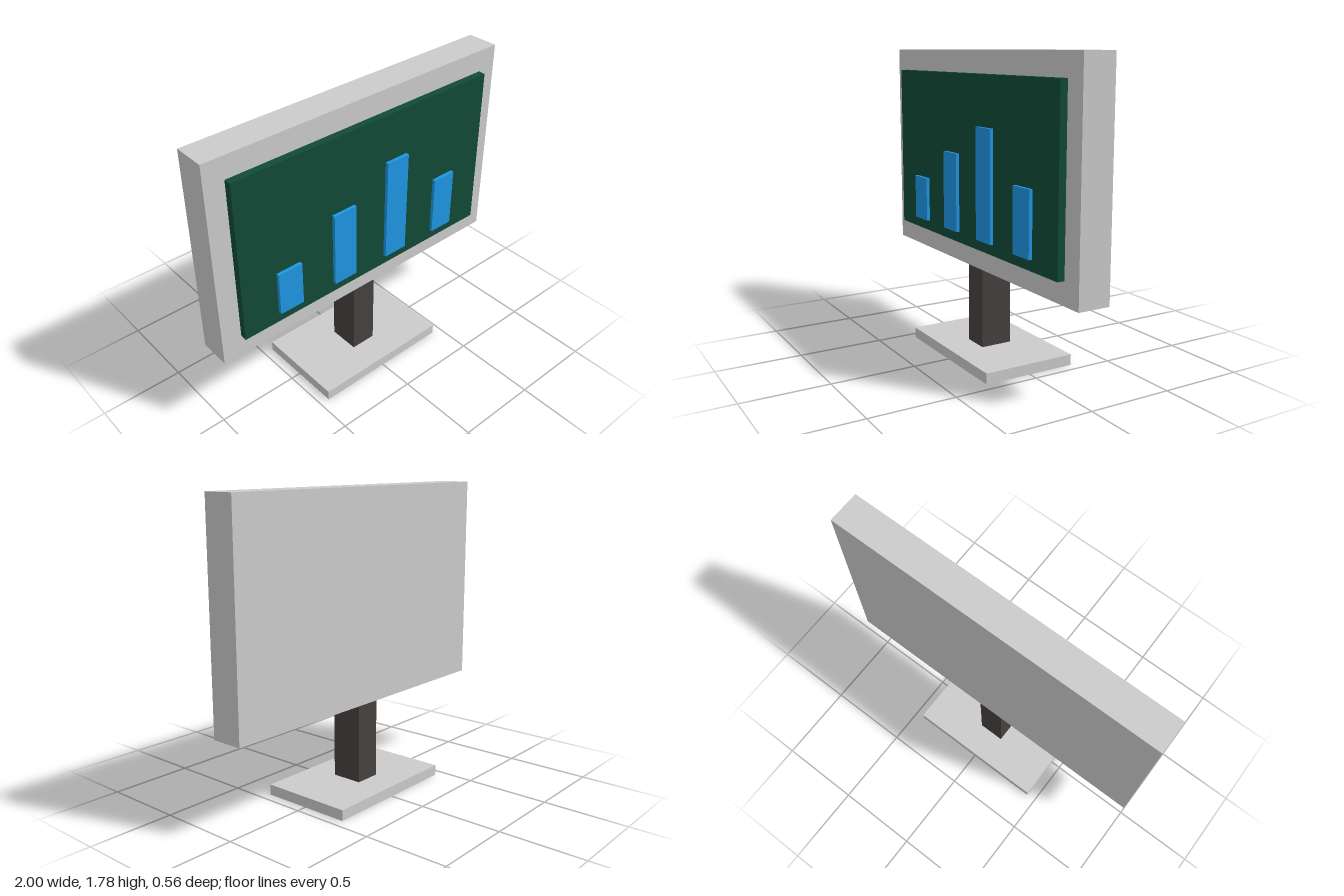
import * as THREE from 'three';

const grey = new THREE.MeshStandardMaterial({ color: 0xcccccc });
const dark = new THREE.MeshStandardMaterial({ color: 0x45413f });
const green = new THREE.MeshStandardMaterial({ color: 0x114a38 });
const blue = new THREE.MeshStandardMaterial({ color: 0x1e97e4 });

// Box given by its centre x, width, bottom, top, back and front
function block(name, material, x, width, y0, y1, z0, z1) {
  const mesh = new THREE.Mesh(new THREE.BoxGeometry(width, y1 - y0, z1 - z0), material);
  mesh.position.set(x, (y0 + y1) / 2, (z0 + z1) / 2);
  mesh.name = name;
  return mesh;
}

export function createModel() {
  const model = new THREE.Group();
  model.name = 'monitor';

  // Stand
  model.add(block('base', grey, 0, 0.88, 0, 0.063, -0.28, 0.28));
  model.add(block('standPost', dark, 0, 0.16, 0.063, 0.53, -0.095, 0.095));

  // Casing and raised screen
  model.add(block('casing', grey, 0, 2, 0.53, 1.78, -0.095, 0.095));
  model.add(block('screen', green, 0, 1.76, 0.66, 1.65, 0.095, 0.138));

  // Bar chart on the screen
  const chart = new THREE.Group();
  chart.name = 'barChart';
  [0.992, 1.188, 1.363, 1.09].forEach((top, i) => {
    const x = -0.577 + i * 0.3847;
    chart.add(block(`chartBar${i + 1}`, blue, x, 0.156, 0.724, top, 0.138, 0.158));
  });
  model.add(chart);

  return model;
}
